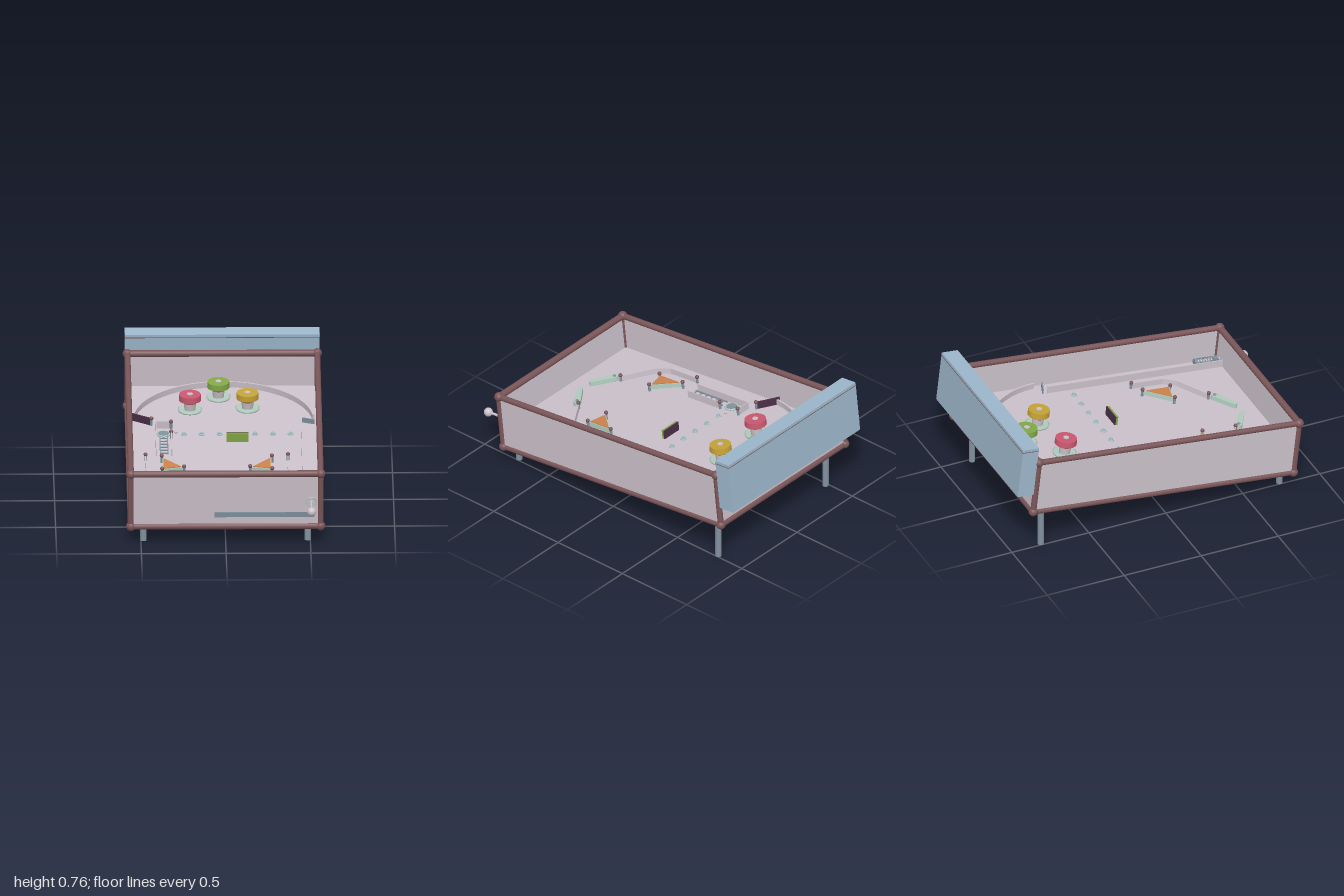
import * as THREE from 'three';

const mat = (name, color) => Object.assign(new THREE.MeshStandardMaterial({ color }), { name });
const M = {
  frame: mat('maroon frame', 0x7a5558),
  panel: mat('lilac panel', 0xcbc1ca),
  dark: mat('dark plum', 0x4a2d45),
  blue: mat('pale blue', 0x9cb6ca),
  steel: mat('steel grey', 0x80919f),
  mint: mat('mint', 0xb0cbbd),
  orange: mat('orange', 0xcc824c),
  pink: mat('pink', 0xc9586f),
  lime: mat('lime', 0x82a846),
  yellow: mat('yellow', 0xc4a236),
};

function add(parent, name, geo, material, x = 0, y = 0, z = 0) {
  const m = new THREE.Mesh(geo, material);
  m.name = name;
  m.position.set(x, y, z);
  parent.add(m);
  return m;
}
const box = (w, h, d) => new THREE.BoxGeometry(w, h, d);
const cyl = (r, h, r2 = r, n = 24) => new THREE.CylinderGeometry(r, r2, h, n);
const ball = (r) => new THREE.SphereGeometry(r, 20, 14);

// round bar between two points
function bar(parent, name, a, b, r, material) {
  const A = new THREE.Vector3(...a), B = new THREE.Vector3(...b);
  const m = add(parent, name, cyl(r, A.distanceTo(B), r, 16), material);
  m.position.copy(A).add(B).multiplyScalar(0.5);
  m.quaternion.setFromUnitVectors(new THREE.Vector3(0, 1, 0), B.sub(A).normalize());
}

// upright strip following a plan path of [x, z] points
function fence(parent, name, pts, h, t, material) {
  for (let i = 0; i < pts.length - 1; i++) {
    const [x0, z0] = pts[i], [x1, z1] = pts[i + 1];
    const m = add(parent, name, box(Math.hypot(x1 - x0, z1 - z0) + t * 0.5, h, t), material,
      (x0 + x1) / 2, h / 2, (z0 + z1) / 2);
    m.rotation.y = -Math.atan2(z1 - z0, x1 - x0);
  }
}

// plan shape raised from y0 by h
function slab(parent, name, shape, y0, h, material) {
  const g = new THREE.ExtrudeGeometry(shape, { depth: h, bevelEnabled: false, curveSegments: 40 });
  g.rotateX(Math.PI / 2);
  return add(parent, name, g, material, 0, y0 + h, 0);
}
const poly = (pts) => new THREE.Shape(pts.map((p) => new THREE.Vector2(...p)));

function post(parent, x, z, h = 0.045) {
  add(parent, 'post', cyl(0.008, h, 0.008, 12), M.steel, x, h / 2, z);
  add(parent, 'postCap', ball(0.012), M.frame, x, h, z);
}

function bumper(parent, x, z, material) {
  const g = new THREE.Group();
  g.name = 'bumper';
  g.position.set(x, 0, z);
  parent.add(g);
  const skirt = [[0.0, 0.004], [0.07, 0.004], [0.072, 0.012], [0.062, 0.02], [0.04, 0.014], [0.036, 0.014]];
  add(g, 'bumperSkirt', new THREE.LatheGeometry(skirt.map((p) => new THREE.Vector2(...p)), 32), M.mint);
  add(g, 'bumperStem', cyl(0.038, 0.06, 0.032), M.panel, 0, 0.036, 0);
  add(g, 'bumperCollar', cyl(0.06, 0.014, 0.045, 32), M.orange, 0, 0.066, 0);
  add(g, 'bumperCap', cyl(0.064, 0.036, 0.066, 32), material, 0, 0.091, 0);
  add(g, 'bumperHub', cyl(0.018, 0.008, 0.018, 10), M.panel, 0, 0.109, 0);
}

export function createModel() {
  const root = new THREE.Group();
  root.name = 'pinballTable';

  // vertical legs
  for (const x of [-0.485, 0.485]) {
    add(root, 'frontLeg', cyl(0.019, 0.125), M.steel, x, 0.0625, 0.745);
    add(root, 'backLeg', cyl(0.019, 0.285), M.steel, x, 0.1425, -0.805);
  }

  // tilted cabinet
  const table = new THREE.Group();
  table.name = 'cabinet';
  table.position.set(0, 0.3675, -0.025);
  table.rotation.x = 0.112;
  root.add(table);
  const X = 0.56, Y = 0.169, Z = 0.85;
  for (const s of [-1, 1]) {
    add(table, 'sideWall', box(0.014, 2 * Y, 2 * Z), M.panel, s * X, 0, 0);
    add(table, 'endWall', box(2 * X, 2 * Y, 0.014), M.panel, 0, 0, s * Z);
    for (const t of [-1, 1]) {
      bar(table, 'sideRail', [s * X, t * Y, -Z], [s * X, t * Y, Z], 0.018, M.frame);
      bar(table, 'crossRail', [-X, s * Y, t * Z], [X, s * Y, t * Z], 0.02, M.frame);
      bar(table, 'cornerRail', [s * X, -Y, t * Z], [s * X, Y, t * Z], 0.018, M.frame);
      for (const u of [-1, 1]) add(table, 'cornerBall', ball(0.028), M.frame, s * X, t * Y, u * Z);
    }
  }
  add(table, 'bottomPlate', box(2 * X, 0.01, 2 * Z), M.dark, 0, -Y, 0);
  add(table, 'playfield', box(2 * X, 0.01, 2 * Z), M.panel, 0, -0.045, 0);

  // back box with a thin trim line
  add(table, 'backBox', box(1.15, 0.322, 0.104), M.blue, 0, 0.12, -0.921);
  add(table, 'backBoxTrim', box(1.152, 0.004, 0.106), M.frame, 0, 0.262, -0.921);

  // front slot and plunger
  add(table, 'frontSlot', box(0.59, 0.031, 0.006), M.steel, 0.23, -0.092, 0.858);
  bar(table, 'plungerRod', [0.505, -0.01, 0.7], [0.505, -0.01, 1.0], 0.008, M.panel);
  add(table, 'plungerKnob', ball(0.027), M.panel, 0.505, -0.01, 1.0);
  add(table, 'plungerRing', new THREE.TorusGeometry(0.026, 0.004, 8, 24), M.mint, 0.505, -0.008, 0.858);
  add(table, 'plungerBlock', box(0.034, 0.034, 0.03), M.steel, 0.505, -0.015, 0.815);
  const coil = [];
  for (let i = 0; i <= 84; i++) {
    const a = (i / 12) * Math.PI * 2;
    coil.push(new THREE.Vector3(0.505 + 0.018 * Math.cos(a), -0.01 + 0.018 * Math.sin(a), 0.685 + i * 0.0014));
  }
  add(table, 'plungerSpring', new THREE.TubeGeometry(new THREE.CatmullRomCurve3(coil), 168, 0.0035, 6), M.steel);
  const tip = add(table, 'plungerTip', cyl(0.02, 0.012), M.steel, 0.505, -0.01, 0.682);
  tip.rotation.x = Math.PI / 2;

  // everything on the playfield surface
  const field = new THREE.Group();
  field.name = 'playfieldParts';
  field.position.set(0, -0.04, 0.03);
  table.add(field);

  // arched ball guide
  const arch = new THREE.Shape();
  arch.absarc(0, -0.325, 0.541, Math.PI + 0.12, 2 * Math.PI - 0.12, false);
  arch.absarc(0, -0.325, 0.53, 2 * Math.PI - 0.12, Math.PI + 0.12, true);
  slab(field, 'archGuide', arch, 0, 0.035, M.panel);

  bumper(field, -0.195, -0.522, M.pink);
  bumper(field, -0.025, -0.7, M.lime);
  bumper(field, 0.145, -0.542, M.yellow);

  // gates and shooter lane
  fence(field, 'leftGate', [[-0.545, -0.4], [-0.425, -0.322]], 0.045, 0.01, M.dark);
  post(field, -0.425, -0.322);
  fence(field, 'rightGate', [[0.46, -0.36], [0.535, -0.332]], 0.03, 0.007, M.steel);
  fence(field, 'shooterLane', [[0.46, -0.33], [0.46, 0.815]], 0.045, 0.006, M.panel);

  // left lane with ladder and saucer
  fence(field, 'laneWall', [[-0.31, -0.28], [-0.4, -0.28], [-0.4, 0.11]], 0.045, 0.006, M.panel);
  fence(field, 'laneWall', [[-0.31, -0.135], [-0.31, 0.11]], 0.045, 0.006, M.panel);
  post(field, -0.31, -0.278);
  post(field, -0.31, -0.137);
  for (const x of [-0.377, -0.332]) add(field, 'ladderRail', box(0.006, 0.008, 0.25), M.steel, x, 0.012, -0.015);
  for (let i = 0; i < 6; i++) add(field, 'ladderRung', box(0.045, 0.006, 0.006), M.steel, -0.355, 0.012, -0.11 + i * 0.042);
  const ring = add(field, 'saucerRing', new THREE.TorusGeometry(0.036, 0.006, 8, 28), M.mint, -0.355, 0.006, -0.188);
  ring.rotation.x = Math.PI / 2;
  add(field, 'saucer', cyl(0.031, 0.012), M.steel, -0.355, 0.006, -0.188);
  add(field, 'smallBall', ball(0.01), M.panel, -0.28, 0.01, -0.205);

  // row of rollover buttons
  for (let i = 0; i < 7; i++) {
    add(field, 'rolloverBase', cyl(0.018, 0.006, 0.018, 12), M.mint, -0.235 + i * 0.105, 0.003, -0.187);
    add(field, 'rolloverButton', cyl(0.01, 0.012, 0.013, 12), M.blue, -0.235 + i * 0.105, 0.008, -0.187);
  }

  // standing target
  add(field, 'target', box(0.13, 0.055, 0.012), M.lime, 0.08, 0.03, -0.084);
  add(field, 'targetBack', box(0.13, 0.055, 0.006), M.dark, 0.08, 0.03, -0.094);

  // lower half, mirrored about x = -0.045
  for (const s of [-1, 1]) {
    const mx = ([x, z]) => [-0.045 + s * x, z];
    const corners = [[0.325, 0.205], [0.195, 0.355], [0.325, 0.385]];
    const c = [0.2817, 0.315];
    const inset = (k) => poly(corners.map(([x, z]) => mx([c[0] + (x - c[0]) * k, c[1] + (z - c[1]) * k])));
    slab(field, 'slingshotBody', inset(0.92), 0.008, 0.028, M.mint);
    slab(field, 'slingshotTop', inset(0.8), 0.036, 0.005, M.orange);
    corners.forEach((p) => post(field, ...mx(p)));

    const guide = [[0.42, 0.175], [0.42, 0.38], [0.375, 0.455], [0.19, 0.575]];
    fence(field, 'laneGuide', guide.map(mx), 0.035, 0.007, M.panel);
    post(field, ...mx(guide[0]), 0.04);
    post(field, ...mx(guide[3]), 0.04);

    // tapered flipper, round at both ends
    const [px, pz] = mx([0.17, 0.605]), [qx, qz] = mx([0.05, 0.682]);
    const a = Math.atan2(qz - pz, qx - px);
    const flipper = new THREE.Shape();
    flipper.absarc(px, pz, 0.022, a + Math.PI / 2, a + Math.PI * 1.5, false);
    flipper.absarc(qx, qz, 0.014, a - Math.PI / 2, a + Math.PI / 2, false);
    slab(field, 'flipper', flipper, 0.008, 0.028, M.mint);
    add(field, 'flipperPivot', cyl(0.01, 0.04, 0.01, 12), M.steel, px, 0.02, pz);
  }
  return root;
}
